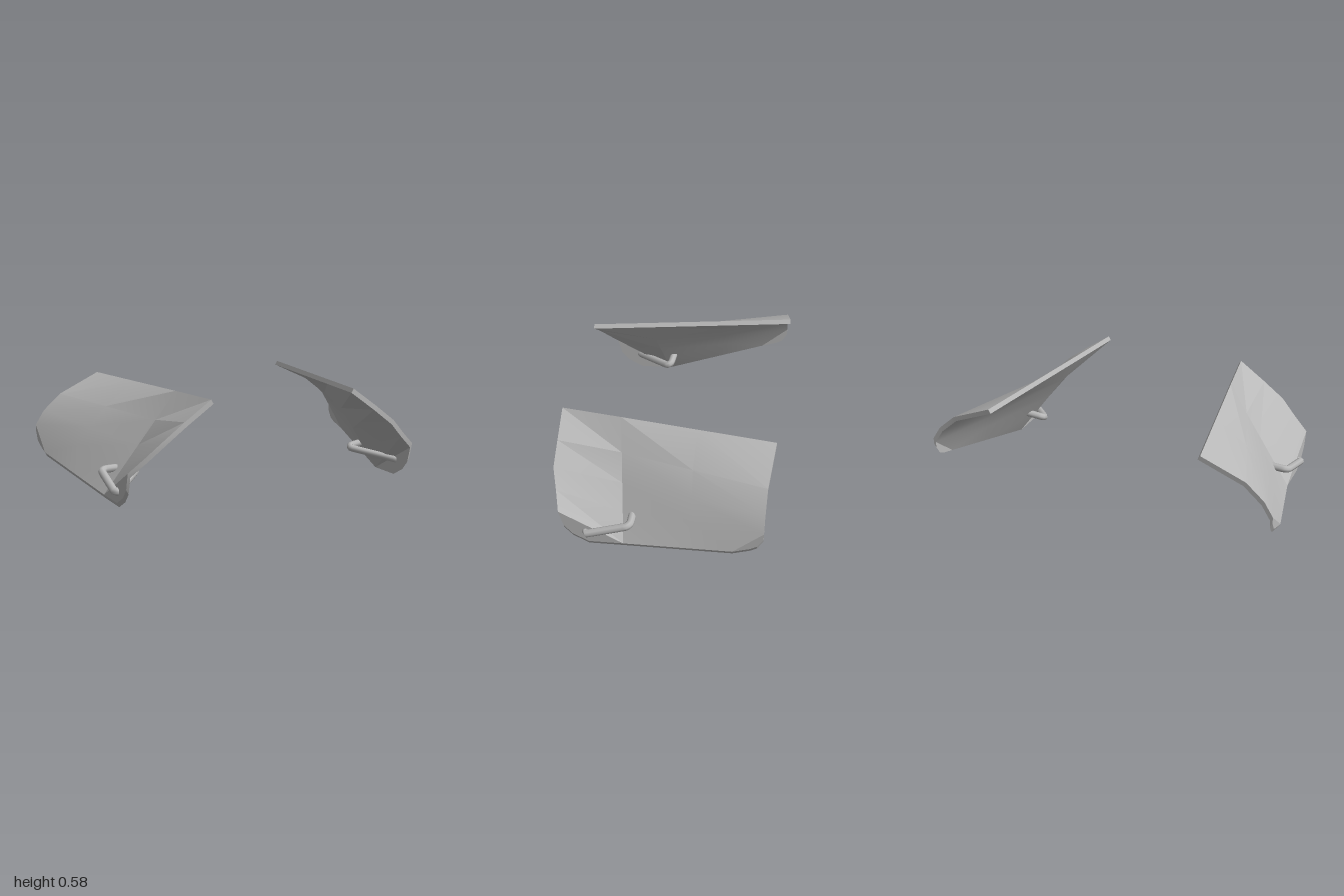
import * as THREE from 'three';
import { toCreasedNormals } from 'three/addons/utils/BufferGeometryUtils.js';

const v = (x, y, z) => new THREE.Vector3(x, y, z);
const lerpRow = (a, b, t) => a.map((p, i) => p.clone().lerp(b[i], t));

// Curved plate: cross-sections from front to back, each listed from top to bottom
function plateGeometry() {
  const front = [v(0.43, 0.56, 0.578), v(0.58, 0.455, 0.578), v(0.70, 0.365, 0.578),
    v(0.785, 0.285, 0.55), v(0.87, 0.21, 0.525)];
  const back = [v(0.61, 0.58, -0.58), v(0.85, 0.47, -0.557), v(0.95, 0.38, -0.555),
    v(1.0, 0.3, -0.555), v(1.0, 0.165, -0.4)];
  const foldTop = v(0.48, 0.566, 0.25), foldBottom = v(0.87, 0.03, 0.185);
  const fold = [0, 0.28, 0.52, 0.75, 1].map(t => foldTop.clone().lerp(foldBottom, t));
  const sections = [front, fold, lerpRow(fold, back, 0.5), back];

  // Rounded lower corners
  const frontCorner = [v(0.87, 0.12, 0.5), v(0.87, 0.07, 0.455), v(0.87, 0.025, 0.37)];
  const backCorner = [v(1.0, 0.265, -0.555), v(1.0, 0.215, -0.525), v(1.0, 0.195, -0.49)];

  const pos = [];
  const inner = p => v(p.x - 0.013, p.y - 0.023, p.z);
  const tri = (a, b, c) => [a, b, c].forEach(p => pos.push(p.x, p.y, p.z));
  const skin = (a, b, c) => {
    tri(a, b, c);
    tri(inner(a), inner(c), inner(b));
  };

  for (let s = 0; s < sections.length - 1; s++) {
    for (let i = 0; i < 4; i++) {
      const [a, b] = [sections[s][i], sections[s][i + 1]];
      const [d, c] = [sections[s + 1][i], sections[s + 1][i + 1]];
      skin(a, b, c);
      skin(a, c, d);
    }
  }
  const fanFront = [front[4], ...frontCorner];
  for (let i = 0; i < 3; i++) skin(fanFront[i], fanFront[i + 1], foldBottom);
  const fanBack = [back[3], ...backCorner];
  for (let i = 0; i < 3; i++) skin(back[4], fanBack[i + 1], fanBack[i]);

  // Rim joining the two skins
  const loop = [...front, ...frontCorner, ...sections.slice(1).map(s => s[4]),
    ...backCorner.slice().reverse(), ...back.slice(0, 4).reverse(),
    sections[2][0], fold[0]];
  loop.forEach((p, i) => {
    const q = loop[(i + 1) % loop.length];
    tri(q, p, inner(p));
    tri(q, inner(p), inner(q));
  });

  const g = new THREE.BufferGeometry();
  g.setAttribute('position', new THREE.Float32BufferAttribute(pos, 3));
  return toCreasedNormals(g, 0.3);
}

// Closed loop handle passing through the plate
function handleGeometry() {
  const path = new THREE.CatmullRomCurve3([
    v(0.885, 0.09, 0.38), v(0.872, 0.15, 0.17), v(0.85, 0.158, 0.148),
    v(0.78, 0.16, 0.148), v(0.70, 0.15, 0.155), v(0.688, 0.138, 0.18),
    v(0.86, 0.092, 0.375)], true, 'catmullrom', 0.15);
  return new THREE.TubeGeometry(path, 56, 0.021, 8, true);
}

export function createModel() {
  const model = new THREE.Group();
  const grey = new THREE.MeshStandardMaterial({ color: 0xb8b8b8 });
  grey.name = 'grey';
  const plateGeo = plateGeometry(), handleGeo = handleGeometry();

  for (const [side, sign] of [['left', 1], ['right', -1]]) {
    const half = new THREE.Group();
    half.name = side + 'Panel';
    const plate = new THREE.Mesh(plateGeo, grey);
    plate.name = side + 'Plate';
    const handle = new THREE.Mesh(handleGeo, grey);
    handle.name = side + 'Handle';
    half.add(plate, handle);
    half.scale.x = sign;
    model.add(half);
  }
  return model;
}
